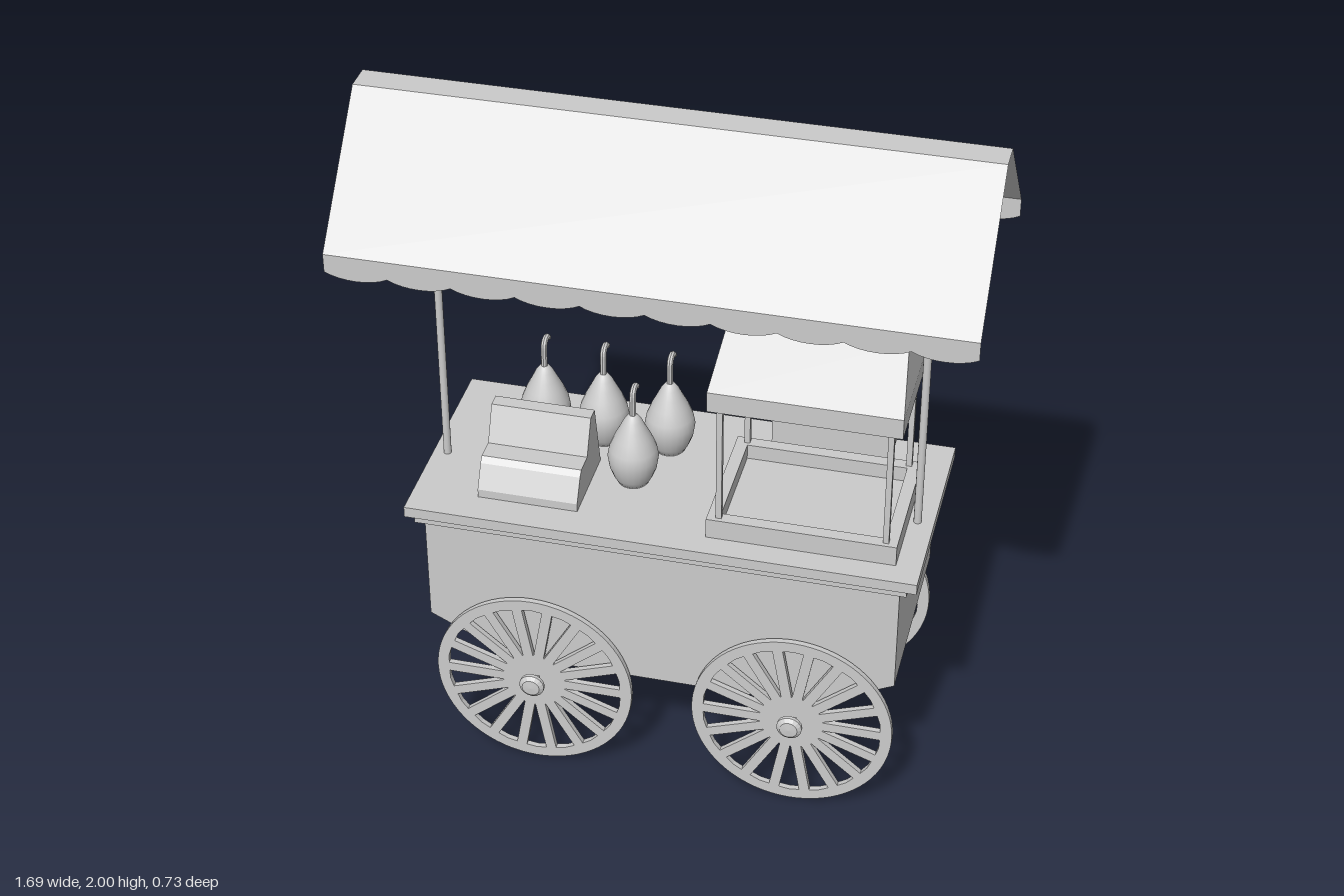
import * as THREE from 'three';

const grey = new THREE.MeshStandardMaterial({ color: 0xcccccc });
const flat = new THREE.MeshStandardMaterial({ color: 0xcccccc, flatShading: true });
const thin = new THREE.MeshStandardMaterial({ color: 0xcccccc, flatShading: true, side: THREE.DoubleSide });

export function createModel() {
  const model = new THREE.Group();

  const add = (name, geometry, material = flat, parent = model) => {
    const mesh = new THREE.Mesh(geometry, material);
    mesh.name = name;
    parent.add(mesh);
    return mesh;
  };
  // Box given by its limits on each axis
  const box = (name, x0, x1, y0, y1, z0, z1) =>
    add(name, new THREE.BoxGeometry(x1 - x0, y1 - y0, z1 - z0)
      .translate((x0 + x1) / 2, (y0 + y1) / 2, (z0 + z1) / 2));
  const polygon = (pts) => new THREE.Shape(pts.map(([a, b]) => new THREE.Vector2(a, b)));
  const extrude = (shape, depth) =>
    new THREE.ExtrudeGeometry(shape, { depth, bevelEnabled: false, curveSegments: 10 });
  // (z, y) profile swept along x
  const sweepX = (name, pts, x0, x1) =>
    add(name, extrude(polygon(pts), x1 - x0).rotateY(-Math.PI / 2).translate(x1, 0, 0));
  // Rectangular frame of four bars
  const frame = (name, x0, x1, y0, y1, z0, z1, t) => {
    box(name, x0, x1, y0, y1, z1 - t, z1);
    box(name, x0, x1, y0, y1, z0, z0 + t);
    box(name, x0, x0 + t, y0, y1, z0 + t, z1 - t);
    box(name, x1 - t, x1, y0, y1, z0 + t, z1 - t);
  };

  // Body with sloping ends underneath, and the counter
  add('body', extrude(polygon([
    [-0.65, 0.455], [-0.42, 0.34], [0.44, 0.34], [0.67, 0.455], [0.67, 0.79], [-0.65, 0.79],
  ]), 0.58).translate(0, 0, -0.31));
  box('counterTrim', -0.675, 0.69, 0.78, 0.803, -0.325, 0.283);
  box('counterTop', -0.70, 0.718, 0.803, 0.835, -0.336, 0.294);

  // Wheels: a disc with wedge windows left between the spokes
  const spokes = 18, half = 0.0145;
  const wheelShape = new THREE.Shape().absarc(0, 0, 0.283, 0, Math.PI * 2);
  wheelShape.curves.length = 0;
  for (let i = 0; i < 72; i++) {
    const a = (i / 72) * Math.PI * 2, x = 0.283 * Math.cos(a), y = 0.283 * Math.sin(a);
    if (i) wheelShape.lineTo(x, y); else wheelShape.moveTo(x, y);
  }
  for (let i = 0; i < spokes; i++) {
    const mid = ((i + 0.5) / spokes) * Math.PI * 2, pitch = Math.PI / spokes;
    const at = (r, side) => {
      const a = mid + side * (pitch - Math.asin(half / r));
      return [r * Math.cos(a), r * Math.sin(a)];
    };
    wheelShape.holes.push(polygon([at(0.09, -1), at(0.25, -1), at(0.252, 0), at(0.25, 1), at(0.09, 1)]));
  }
  const wheelGeometry = extrude(wheelShape, 0.016).translate(0, 0, -0.008);
  const hubGeometry = new THREE.LatheGeometry([
    [0, -0.016], [0.025, -0.014], [0.036, -0.005], [0.036, 0.005], [0.025, 0.014], [0, 0.016],
  ].map(([r, y]) => new THREE.Vector2(r, y)), 16).rotateX(Math.PI / 2);
  for (const x of [-0.347, 0.392]) {
    box('axle', x - 0.016, x + 0.016, 0.273, 0.305, -0.33, 0.30);
    box('axleBracket', x - 0.03, x + 0.03, 0.30, 0.345, -0.036, 0.01);
    for (const [z, dir] of [[0.286, 1], [-0.32, -1]]) {
      const wheel = new THREE.Group();
      wheel.name = 'wheel';
      wheel.position.set(x, 0.286, z);
      add('spokedDisc', wheelGeometry, flat, wheel);
      add('hub', hubGeometry, flat, wheel).position.z = dir * 0.03;
      model.add(wheel);
    }
  }

  // Canopy: poles, folded sheet and scalloped fringes
  for (const x of [-0.66, 0.672]) {
    add('canopyPole', new THREE.CylinderGeometry(0.011, 0.011, 1.23, 12), grey).position.set(x, 1.383, 0.022);
  }
  const fold = [[0.36, 1.67], [0.06, 2], [-0.02, 2], [-0.33, 1.67]];
  const sheet = new THREE.PlaneGeometry(1.69, 3, 1, 3);
  const sp = sheet.attributes.position;
  for (let i = 0; i < sp.count; i++) {
    const [z, y] = fold[Math.round(sp.getY(i) + 1.5)];
    sp.setXYZ(i, sp.getX(i), y, z);
  }
  sheet.computeVertexNormals();
  add('canopySheet', sheet, thin);
  const fringe = new THREE.Shape();
  fringe.moveTo(0.845, 1.67);
  fringe.lineTo(-0.845, 1.67);
  fringe.lineTo(-0.845, 1.618);
  for (let i = 0; i < 10; i++) {
    const x = -0.845 + i * 0.169;
    fringe.bezierCurveTo(x + 0.045, 1.594, x + 0.124, 1.594, x + 0.169, 1.618);
  }
  for (const z of [0.36, -0.33]) {
    add('canopyFringe', new THREE.ShapeGeometry(fringe, 8), thin).position.z = z;
  }

  // Display case: tray, posts and hipped roof
  frame('caseTray', 0.13, 0.649, 0.835, 0.895, -0.164, 0.225, 0.035);
  box('caseFloor', 0.15, 0.63, 0.835, 0.85, -0.15, 0.21);
  for (const x of [0.162, 0.617]) {
    for (const z of [-0.147, 0.205]) box('casePost', x - 0.008, x + 0.008, 0.85, 1.27, z - 0.008, z + 0.008);
  }
  frame('caseRoofBand', 0.13, 0.649, 1.25, 1.31, -0.164, 0.225, 0.02);
  const hip = new THREE.BoxGeometry(0.519, 0.13, 0.389);
  const hp = hip.attributes.position;
  for (let i = 0; i < hp.count; i++) {
    if (hp.getY(i) > 0) hp.setXYZ(i, hp.getX(i) * 0.92, hp.getY(i), hp.getZ(i) * 0.17);
  }
  hip.computeVertexNormals();
  add('caseRoof', hip).position.set(0.3895, 1.375, 0.0305);

  // Stepped rack at the back of the case
  sweepX('steppedRack', [
    [-0.195, 0.835], [-0.195, 1.05], [-0.207, 1.05], [-0.207, 0.985], [-0.26, 0.985],
    [-0.26, 0.92], [-0.32, 0.92], [-0.32, 0.855], [-0.215, 0.855], [-0.215, 0.835],
  ].reverse(), 0.22, 0.555);

  // Till with a stepped, sloping front
  sweepX('till', [
    [0.2, 0.835], [0.2, 0.86], [0.165, 0.925], [0.15, 0.94], [0.09, 0.94],
    [0.045, 1.04], [0.005, 1.04], [-0.045, 0.835],
  ], -0.517, -0.235);

  // Bottles with a thin hooked spout
  const bottleGeometry = new THREE.LatheGeometry([
    [0, 0], [0.042, 0], [0.055, 0.025], [0.066, 0.055], [0.071, 0.088], [0.066, 0.115],
    [0.052, 0.15], [0.037, 0.18], [0.025, 0.205], [0.013, 0.222], [0, 0.224],
  ].map(([r, y]) => new THREE.Vector2(r, y)), 24);
  const spout = new THREE.CatmullRomCurve3([
    [0, 0.2, 0], [0, 0.26, 0], [0, 0.288, -0.002], [0, 0.298, -0.012], [0, 0.298, -0.03], [0, 0.288, -0.043],
  ].map((p) => new THREE.Vector3(...p)));
  const spoutGeometry = new THREE.TubeGeometry(spout, 20, 0.009, 8);
  for (const [x, z] of [[-0.42, -0.145], [-0.25, -0.145], [-0.06, -0.145], [-0.122, 0.025]]) {
    const bottle = new THREE.Group();
    bottle.name = 'bottle';
    bottle.position.set(x, 0.835, z);
    add('bottleBody', bottleGeometry, grey, bottle);
    add('bottleSpout', spoutGeometry, thin, bottle);
    model.add(bottle);
  }

  return model;
}
